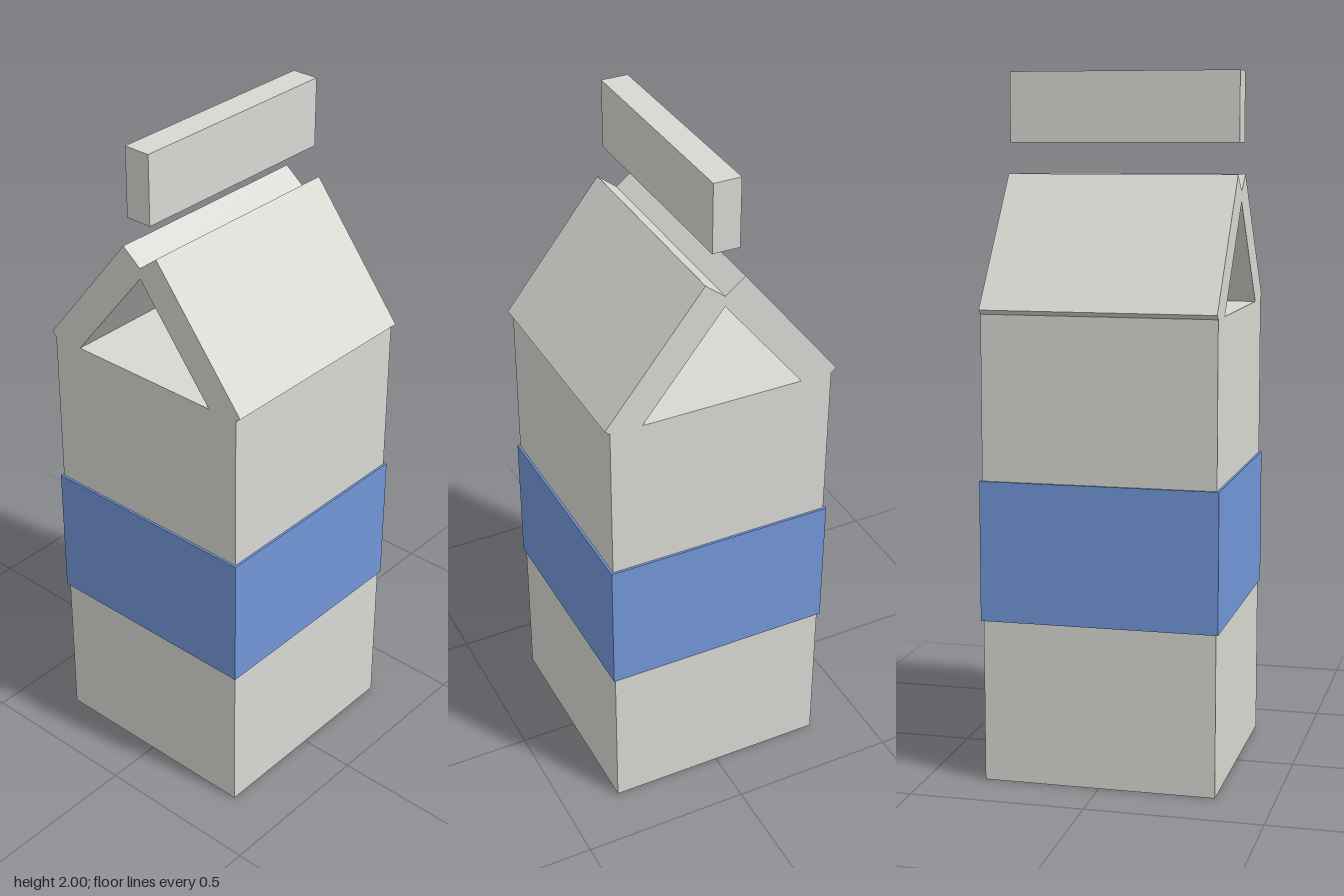
import * as THREE from 'three';

export function createModel() {
  const group = new THREE.Group();
  const card = new THREE.MeshStandardMaterial({ name: 'pale card', color: 0xd8d8d3 });
  const blue = new THREE.MeshStandardMaterial({ name: 'blue label', color: 0x7296d8 });

  const addBox = (name, material, [w, h, d], x, y, tilt = 0) => {
    const mesh = new THREE.Mesh(new THREE.BoxGeometry(w, h, d), material);
    mesh.name = name;
    mesh.position.set(x, y, 0);
    mesh.rotation.z = tilt;
    group.add(mesh);
  };

  const side = 2 / 3;

  // Square carton with a label band wrapped slightly proud of it
  addBox('cartonBody', card, [side, 4 / 3, side], 0, 2 / 3);
  addBox('labelBand', blue, [0.68, 0.4, 0.68], 0, side);

  // Two sloping roof panels, open at the gable ends
  for (const s of [1, -1]) {
    addBox(s > 0 ? 'leftRoofPanel' : 'rightRoofPanel', card,
      [0.4667, 0.0933, side], s / 6, 1.5, -s * 0.9);
  }

  // Sealing fin floating above the ridge
  addBox('topFin', card, [0.08, 0.2, side], 0, 1.9);

  return group;
}
